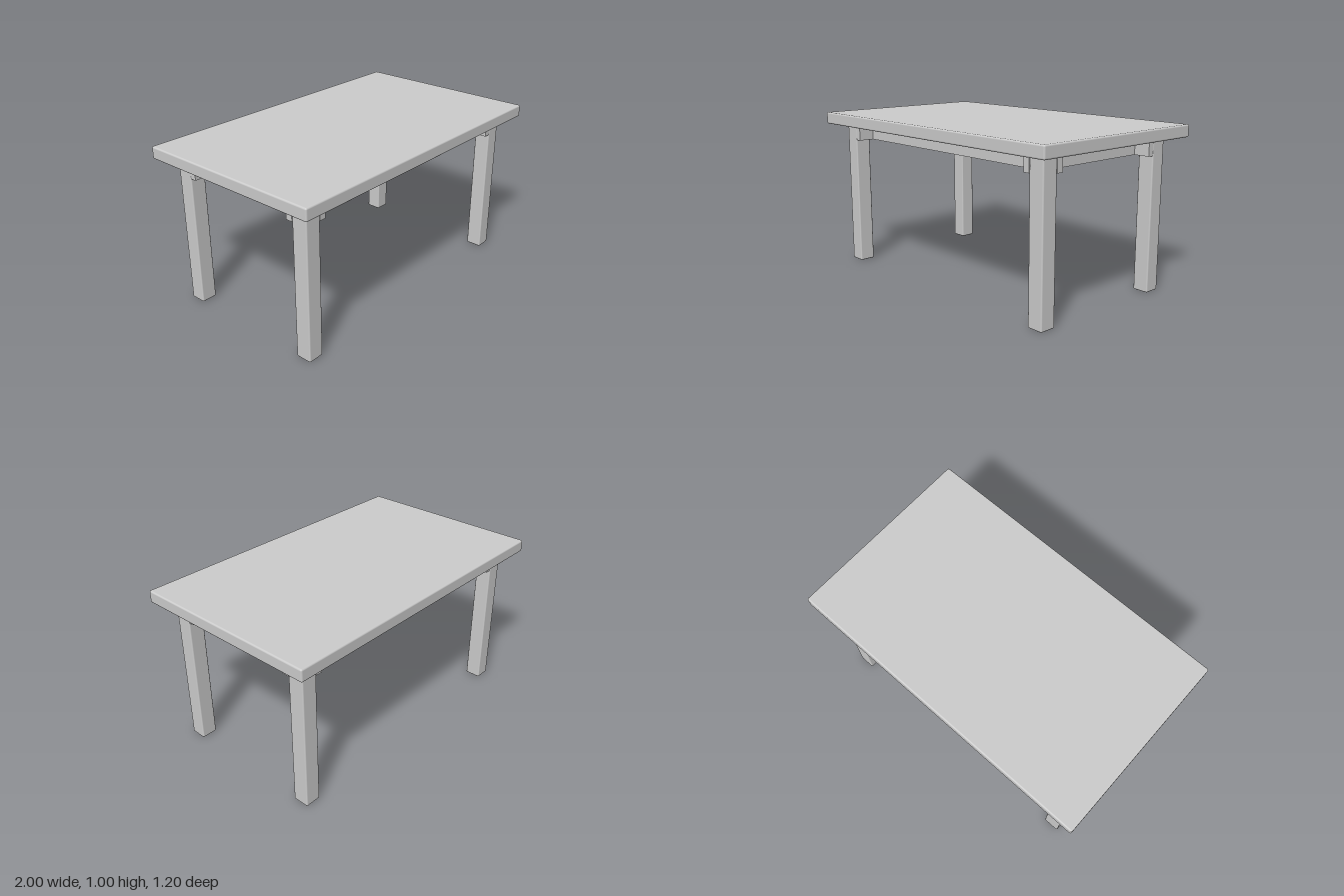
import * as THREE from 'three';
import { RoundedBoxGeometry } from 'three/addons/geometries/RoundedBoxGeometry.js';

export function createModel() {
  const table = new THREE.Group();
  table.name = 'table';
  const material = new THREE.MeshStandardMaterial({ color: 0xcccccc });

  const add = (name, geometry, x, y, z) => {
    const mesh = new THREE.Mesh(geometry, material);
    mesh.name = name;
    mesh.position.set(x, y, z);
    table.add(mesh);
  };

  const topThickness = 0.075;
  const legHeight = 1 - topThickness;
  const apronHeight = 0.1;
  const apronThickness = 0.04;
  const apronY = legHeight - apronHeight / 2;

  // Slab with softly rounded edges
  add('tableTop', new RoundedBoxGeometry(2, topThickness, 1.2, 3, 0.01), 0, 1 - topThickness / 2, 0);

  // Square legs, set in from the corners
  const legGeometry = new RoundedBoxGeometry(0.1, legHeight, 0.1, 3, 0.008);
  for (const [side, sx] of [['Left', 1], ['Right', -1]]) {
    for (const [end, sz] of [['front', 1], ['back', -1]]) {
      add(`${end}${side}Leg`, legGeometry, sx * 0.85, legHeight / 2, sz * 0.45);
    }
  }

  // Aprons against the inner leg faces, crossing at the corners
  const longApron = new THREE.BoxGeometry(1.8, apronHeight, apronThickness);
  const shortApron = new THREE.BoxGeometry(apronThickness, apronHeight, 1);
  add('frontApron', longApron, 0, apronY, 0.38);
  add('backApron', longApron, 0, apronY, -0.38);
  add('leftApron', shortApron, 0.78, apronY, 0);
  add('rightApron', shortApron, -0.78, apronY, 0);

  return table;
}
